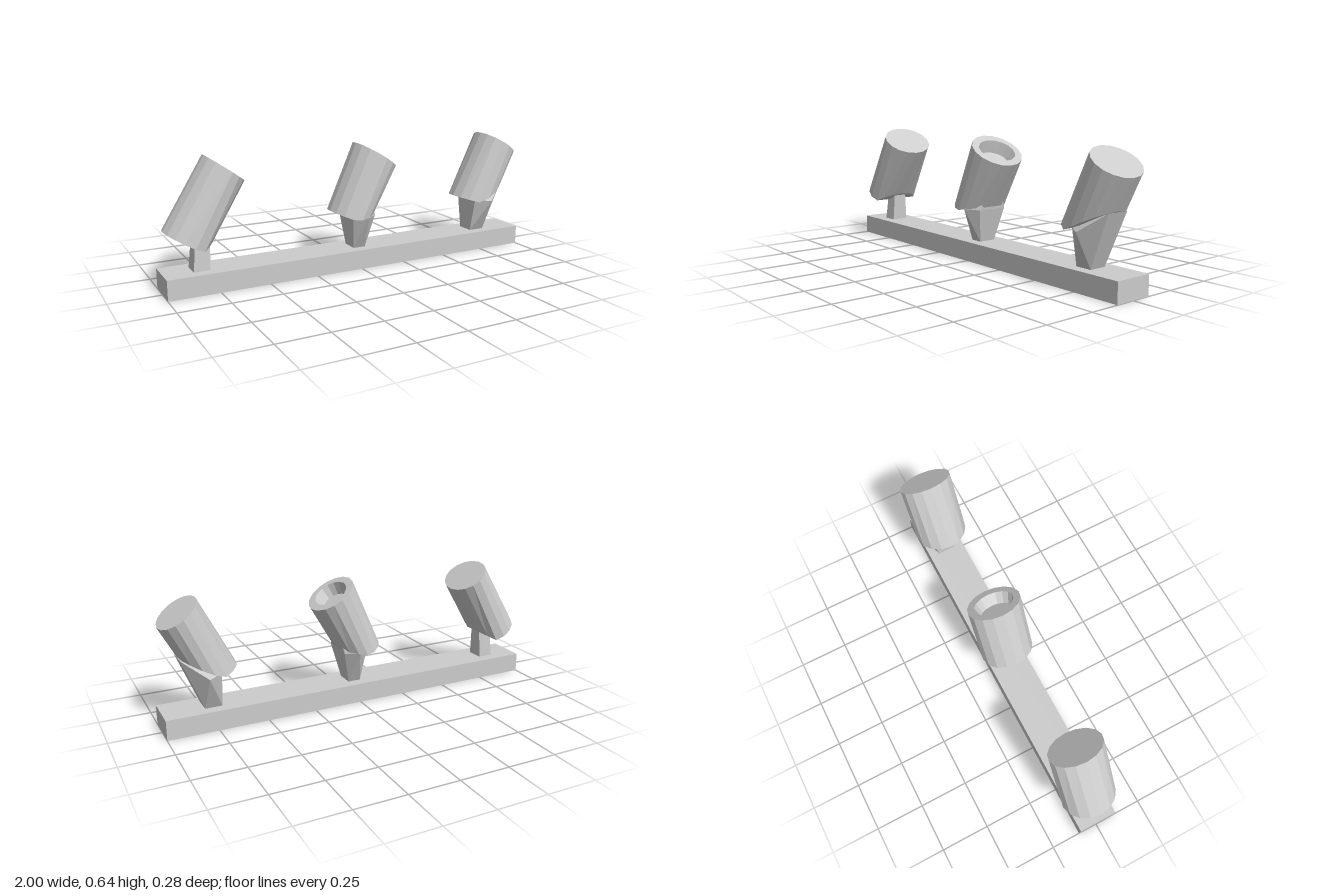
import * as THREE from 'three';
import { ConvexGeometry } from 'three/addons/geometries/ConvexGeometry.js';

const N = 16; // sides of a lamp head
const RZ = 0.138; // half depth of a lamp head
const mat = new THREE.MeshStandardMaterial({ color: 0xcccccc, flatShading: true });

// Oval ring whose side profile follows the line left -> middle -> right.
function ring([l, m, r], rz = RZ) {
  const k = (m[0] - l[0]) / (r[0] - l[0]);
  const pts = [];
  for (let i = 0; i < N; i++) {
    const a = (i / N) * Math.PI * 2;
    const u = (1 - Math.cos(a)) / 2;
    const [p, q, t] = u < k ? [l, m, u / k] : [m, r, (u - k) / (1 - k)];
    pts.push([p[0] + (q[0] - p[0]) * t, p[1] + (q[1] - p[1]) * t, Math.sin(a) * rz]);
  }
  return pts;
}

// Skin a stack of rings and close both ends with strips across the depth.
function loft(rings) {
  const index = [];
  const quad = (a, b, c, d) => index.push(a, b, c, a, c, d);
  for (let s = 0; s < rings.length - 1; s++) {
    for (let i = 0; i < N; i++) {
      const j = (i + 1) % N;
      quad(s * N + i, s * N + j, (s + 1) * N + j, (s + 1) * N + i);
    }
  }
  const top = (rings.length - 1) * N;
  for (let i = 0; i < N / 2; i++) {
    const ids = [i, i + 1, N - i - 1, (N - i) % N];
    quad(...ids.map((v) => top + v));
    quad(...ids.reverse());
  }
  const geo = new THREE.BufferGeometry();
  geo.setAttribute('position', new THREE.Float32BufferAttribute(rings.flat(2), 3));
  geo.setIndex(index);
  geo.computeVertexNormals();
  return geo;
}

// Solid hull of [x, y, half depth] points mirrored front to back.
function hull(points) {
  return new ConvexGeometry(points.flatMap(([x, y, z]) =>
    [new THREE.Vector3(x, y, z), new THREE.Vector3(x, y, -z)]));
}

const mix = (a, b, t) => [a[0] + (b[0] - a[0]) * t, a[1] + (b[1] - a[1]) * t];

const lamps = [
  {
    name: 'rightLamp',
    bottom: [[-0.985, 0.3], [-0.83, 0.215], [-0.755, 0.255]],
    top: [[-0.775, 0.638], [-0.595, 0.508]],
    stem: [[-0.86, 0.1, 0.045], [-0.78, 0.1, 0.045], [-0.845, 0.25, 0.035], [-0.775, 0.27, 0.035]],
  },
  {
    name: 'middleLamp',
    bottom: [[-0.134, 0.3], [-0.04, 0.263], [0.095, 0.285]],
    top: [[0.016, 0.638], [0.224, 0.502]],
    recess: 0.06,
    stem: [[-0.022, 0.1, 0.045], [0.043, 0.1, 0.045], [-0.043, 0.275, 0.08],
      [0.02, 0.275, 0.132], [0.082, 0.27, 0.08], [0.09, 0.33, 0.06]],
  },
  {
    name: 'leftLamp',
    bottom: [[0.626, 0.3], [0.72, 0.273], [0.905, 0.365]],
    top: [[0.8, 0.638], [0.984, 0.514]],
    stem: [[0.715, 0.1, 0.045], [0.8, 0.1, 0.045], [0.718, 0.28, 0.08],
      [0.79, 0.275, 0.132], [0.905, 0.362, 0.06]],
  },
];

export function createModel() {
  const model = new THREE.Group();
  const add = (parent, name, geo) => {
    const mesh = new THREE.Mesh(geo, mat);
    mesh.name = name;
    parent.add(mesh);
    return mesh;
  };

  // Mounting bar
  add(model, 'bar', new THREE.BoxGeometry(2, 0.1, 0.2)).position.y = 0.05;

  // Three tilted spotlights on their stems
  for (const { name, bottom, top: [l, r], recess, stem } of lamps) {
    const lamp = new THREE.Group();
    lamp.name = name;
    const rings = [ring(bottom), ring([l, mix(l, r, 0.5), r])];
    if (recess) {
      // Hollow mouth: an inset rim, then a sunken floor
      const inner = [0.16, 0.5, 0.84].map((t) => mix(l, r, t));
      const floor = [0.24, 0.5, 0.76].map((t) => mix(l, r, t))
        .map(([x, y]) => [x - recess * 0.5, y - recess * 0.86]);
      rings.push(ring(inner, RZ * 0.74), ring(floor, RZ * 0.6));
    }
    add(lamp, 'head', loft(rings));
    add(lamp, 'stem', hull(stem));
    model.add(lamp);
  }
  return model;
}
